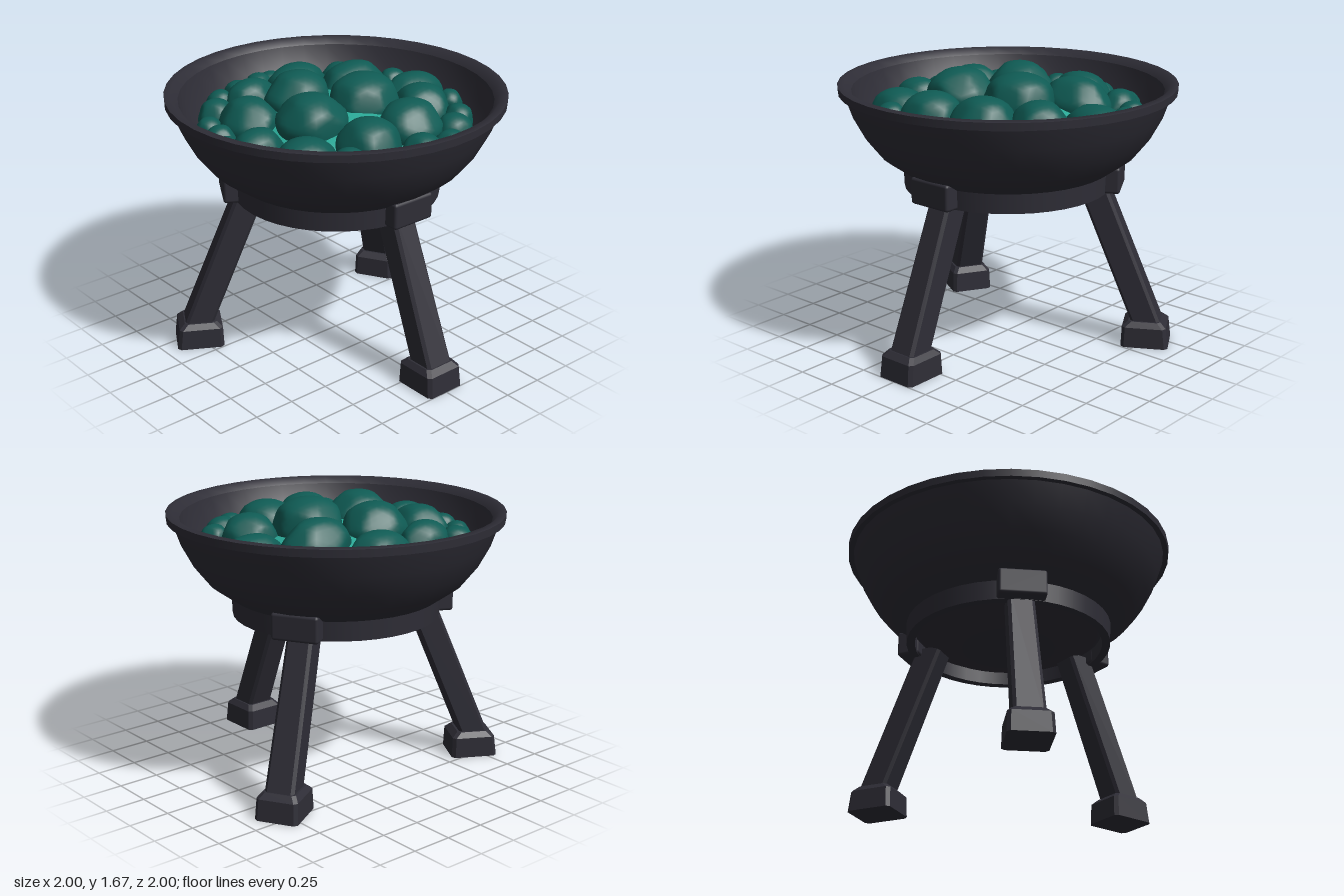
import * as THREE from 'three';
import { mergeGeometries, mergeVertices } from 'three/addons/utils/BufferGeometryUtils.js';
import { RoundedBoxGeometry } from 'three/addons/geometries/RoundedBoxGeometry.js';

function material(name, color) {
  const m = new THREE.MeshStandardMaterial({ color });
  m.name = name;
  return m;
}

function add(parent, name, geometry, mat) {
  const mesh = new THREE.Mesh(geometry, mat);
  mesh.name = name;
  parent.add(mesh);
  return mesh;
}

// Revolve several profiles; each is smooth, with a sharp edge between them
function lathe(profiles) {
  return mergeGeometries(profiles.map(p =>
    new THREE.LatheGeometry(p.map(([r, y]) => new THREE.Vector2(r, y)), 40)));
}

// Loft of bevelled rectangles; rows are [y, inner z, outer z, half width]
function loft(rows, bevel) {
  const pos = [];
  const rings = rows.map(([y, z0, z1, w]) => [
    [w, z0 + bevel], [w, z1 - bevel], [w - bevel, z1], [bevel - w, z1],
    [-w, z1 - bevel], [-w, z0 + bevel], [bevel - w, z0], [w - bevel, z0],
  ].map(([x, z]) => [x, y, z]));
  const tri = (a, b, c) => pos.push(...a, ...b, ...c);
  for (let r = 0; r < rings.length - 1; r++) {
    for (let i = 0; i < 8; i++) {
      const j = (i + 1) % 8, lo = rings[r], hi = rings[r + 1];
      tri(lo[i], hi[i], hi[j]);
      tri(lo[i], hi[j], lo[j]);
    }
  }
  const top = rings[rings.length - 1];
  for (let i = 1; i < 7; i++) {
    tri(rings[0][0], rings[0][i], rings[0][i + 1]);
    tri(top[0], top[i + 1], top[i]);
  }
  const g = new THREE.BufferGeometry();
  g.setAttribute('position', new THREE.Float32BufferAttribute(pos, 3));
  g.computeVertexNormals();
  return g;
}

let seed = 11;
function rand() {
  seed = (seed * 16807) % 2147483647;
  return seed / 2147483647;
}

// Rounded stone: a sphere with softly flattened sides
function stone(rx, ry, rz) {
  let g = new THREE.IcosahedronGeometry(1, 5);
  g.deleteAttribute('uv');
  g.deleteAttribute('normal');
  g = mergeVertices(g, 1e-4);
  const cuts = [];
  const turn = rand() * 6;
  for (let i = 0; i < 7; i++) {
    const a = turn + i * Math.PI * 2 / 7 + rand() * 0.5;
    cuts.push(new THREE.Vector3(Math.cos(a), rand() * 0.9 - 0.1, Math.sin(a)).normalize());
  }
  const p = g.attributes.position, v = new THREE.Vector3();
  for (let i = 0; i < p.count; i++) {
    v.fromBufferAttribute(p, i);
    for (const c of cuts) {
      const over = v.dot(c) - 0.87;
      if (over > 0) v.addScaledVector(c, -over * 0.75);
    }
    p.setXYZ(i, v.x * rx * 1.05, v.y * ry, v.z * rz * 1.05);
  }
  g.computeVertexNormals();
  return g;
}

export function createModel() {
  const model = new THREE.Group();
  model.name = 'brazier';
  const iron = material('dark iron', 0x2e2d36);
  const coal = material('teal coal', 0x0f5b54);
  const glow = material('bright teal ember', 0x2aa896);

  // Bowl: outside, lip, inside
  add(model, 'bowl', lathe([
    [[0, 0.91], [0.15, 0.92], [0.35, 0.965], [0.5, 1.02], [0.63, 1.09], [0.77, 1.19],
      [0.85, 1.29], [0.92, 1.42], [0.965, 1.55]],
    [[0.965, 1.55], [0.998, 1.55]],
    [[0.998, 1.55], [1, 1.595]],
    [[1, 1.595], [0.96, 1.6], [0.92, 1.56]],
    [[0.92, 1.56], [0.88, 1.43], [0.8, 1.31], [0.7, 1.22], [0.45, 1.1], [0, 1.02]],
  ]), iron);

  // Support ring under the bowl
  add(model, 'supportRing', lathe([
    [[0.57, 0.97], [0.62, 0.97]],
    [[0.62, 0.97], [0.625, 1.09]],
    [[0.625, 1.09], [0.57, 1.09]],
    [[0.57, 1.09], [0.57, 0.97]],
  ]), iron);

  // Three splayed legs, each with a foot and a bracket
  for (let i = 0; i < 3; i++) {
    const leg = new THREE.Group();
    leg.name = 'leg' + (i + 1);
    leg.rotation.y = i * Math.PI * 2 / 3;
    add(leg, 'strut', loft([[0.12, 0.785, 0.96, 0.09], [1.02, 0.42, 0.595, 0.078]], 0.018), iron);
    add(leg, 'foot', loft([[0.005, 0.715, 1, 0.13], [0.13, 0.72, 0.985, 0.125],
      [0.162, 0.755, 0.95, 0.1]], 0.02), iron);
    add(leg, 'bracket', new RoundedBoxGeometry(0.285, 0.16, 0.14, 2, 0.018), iron)
      .position.set(0, 1.052, 0.62);
    model.add(leg);
  }

  // Glowing bed seen between the coals
  add(model, 'emberBed', lathe([
    [[0.68, 1.28], [0.6, 1.37], [0.45, 1.44], [0.25, 1.5], [0, 1.52]],
  ]), glow);

  // Coals: [x, z, radius x, radius z], heaped towards the middle
  const large = [
    [-0.25, -0.49, 0.17, 0.13], [0.13, -0.53, 0.2, 0.16], [-0.47, -0.21, 0.17, 0.19],
    [-0.1, -0.23, 0.2, 0.18], [0.33, -0.23, 0.22, 0.16], [-0.64, 0.09, 0.17, 0.14],
    [-0.27, 0.11, 0.2, 0.2], [0.15, 0.07, 0.21, 0.2], [0.63, -0.03, 0.22, 0.15],
    [-0.53, 0.37, 0.19, 0.17], [-0.16, 0.48, 0.18, 0.18], [0.19, 0.43, 0.19, 0.18],
    [0.45, 0.25, 0.17, 0.17], [-0.5, -0.5, 0.11, 0.11], [0.45, -0.5, 0.11, 0.13],
  ];
  const small = [
    [-0.35, -0.67, 0.085], [-0.19, -0.71, 0.085], [-0.03, -0.71, 0.09], [0.11, -0.77, 0.085],
    [0.37, -0.69, 0.08], [0.61, -0.41, 0.085], [0.68, -0.26, 0.095], [-0.67, -0.34, 0.08],
    [-0.71, -0.17, 0.085], [-0.76, -0.04, 0.085], [0.7, 0.23, 0.08], [0.55, 0.46, 0.09],
    [0.41, 0.57, 0.11], [0.26, 0.7, 0.095], [0.05, 0.69, 0.12], [-0.15, 0.74, 0.08],
    [-0.29, 0.68, 0.08], [-0.39, 0.58, 0.095],
  ];
  const coals = new THREE.Group();
  coals.name = 'coals';
  for (const [x, z, rx, rz = rx] of [...large, ...small]) {
    const ry = Math.min(0.16, (rx + rz) / 2);
    const top = 1.685 - 0.36 * (x * x + z * z);
    add(coals, 'coal', stone(rx, ry, rz), coal).position.set(x, top - ry, z);
  }
  model.add(coals);
  return model;
}
